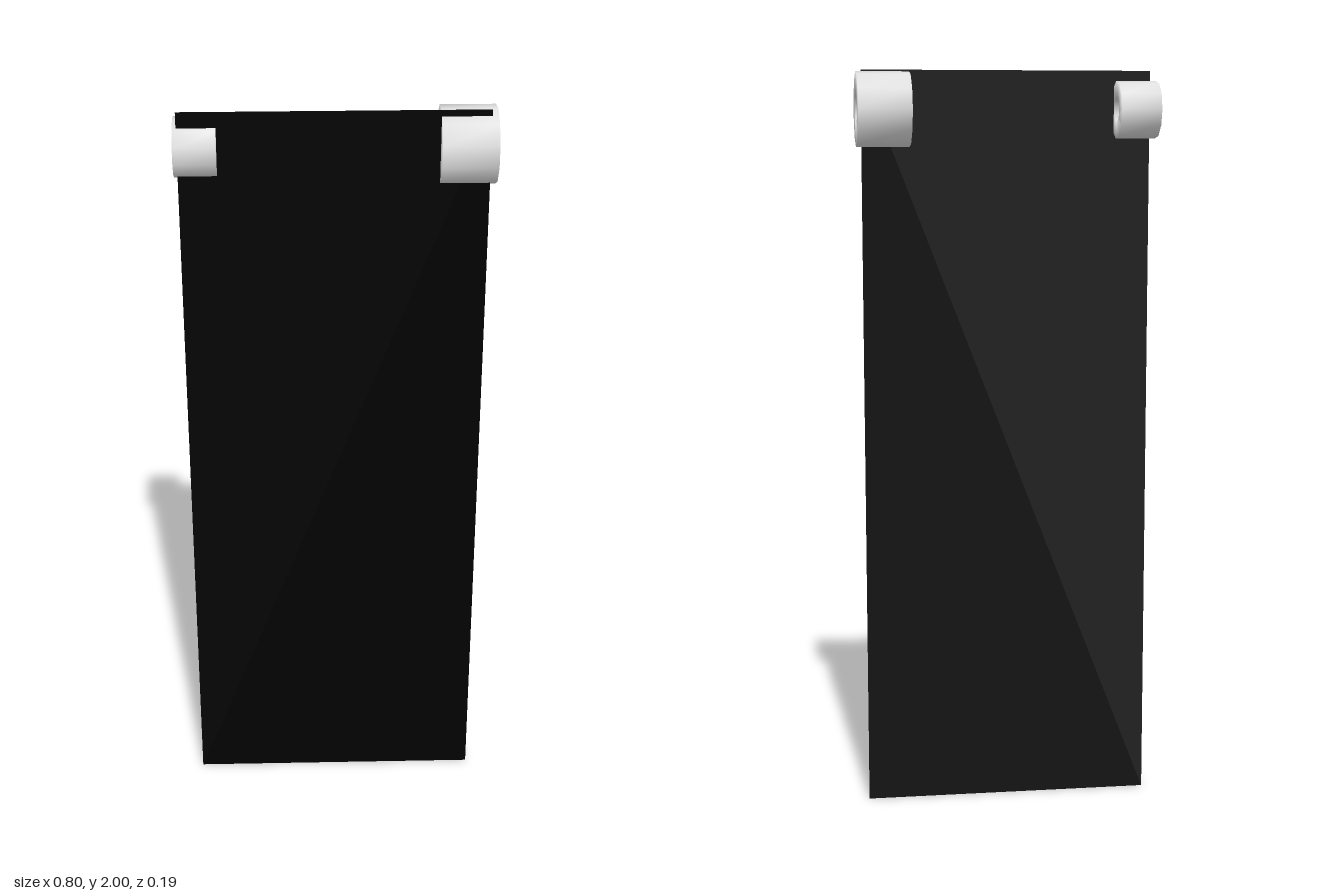
import * as THREE from 'three';
import { mergeVertices } from 'three/addons/utils/BufferGeometryUtils.js';

// Eleven-sided tube along x, with normals smoothed across every edge
function ringGeometry(outer, inner, length) {
  const h = length / 2;
  const profile = [[outer, -h], [outer, h], [inner, h], [inner, -h], [outer, -h]]
    .map(([r, y]) => new THREE.Vector2(r, y));
  const lathe = new THREE.LatheGeometry(profile, 11, Math.PI);
  lathe.deleteAttribute('normal');
  lathe.deleteAttribute('uv');
  const geometry = mergeVertices(lathe);
  geometry.rotateZ(-Math.PI / 2);
  geometry.computeVertexNormals();
  return geometry;
}

export function createModel() {
  const group = new THREE.Group();

  const black = new THREE.MeshStandardMaterial({ color: 0x020202, side: THREE.DoubleSide });
  black.name = 'black';
  const paleGrey = new THREE.MeshStandardMaterial({ color: 0xe0e0e0 });
  paleGrey.name = 'paleGrey';

  // Hanging sheet, passing through the front of both rings
  const panel = new THREE.Mesh(new THREE.PlaneGeometry(0.775, 2), black);
  panel.name = 'panel';
  panel.position.set(-0.003, 1, 0.04);
  group.add(panel);

  // Large ring on the left, small ring on the right
  const rings = [
    ['largeRing', 0.099, 0.042, 0.14, 0.33],
    ['smallRing', 0.076, 0.032, 0.107, -0.3465],
  ];
  for (const [name, outer, inner, length, x] of rings) {
    const ring = new THREE.Mesh(ringGeometry(outer, inner, length), paleGrey);
    ring.name = name;
    ring.position.set(x, 1.897, 0);
    group.add(ring);
  }

  return group;
}
